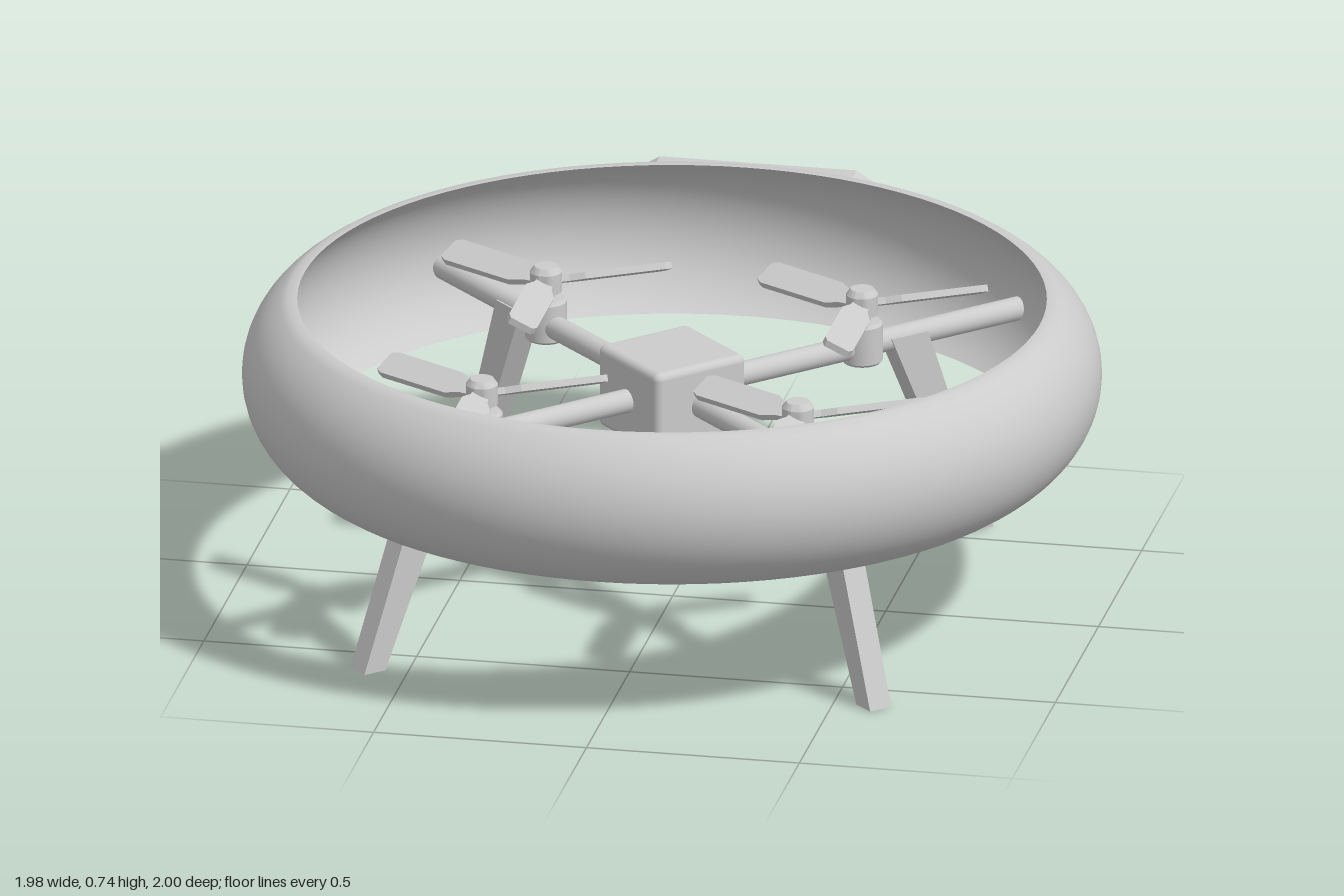
import * as THREE from 'three';
import { toCreasedNormals } from 'three/addons/utils/BufferGeometryUtils.js';
import { RoundedBoxGeometry } from 'three/addons/geometries/RoundedBoxGeometry.js';

const MID = 0.552;    // height of the ring's middle
const ARM_Y = 0.51;   // height of the arms and the core

const material = new THREE.MeshStandardMaterial({ color: 0xcccccc });

function add(parent, name, geometry, x = 0, y = 0, z = 0) {
  const mesh = new THREE.Mesh(geometry, material);
  mesh.name = name;
  mesh.position.set(x, y, z);
  parent.add(mesh);
  return mesh;
}

function group(parent, name) {
  const g = new THREE.Group();
  g.name = name;
  parent.add(g);
  return g;
}

// Rounded rectangle centred on the origin, as a shape or a hole
function roundedRect(w, h, r, Type = THREE.Shape) {
  const s = new Type();
  const x = w / 2 - r, y = h / 2 - r;
  s.absarc(x, y, r, 0, Math.PI / 2);
  s.absarc(-x, y, r, Math.PI / 2, Math.PI);
  s.absarc(-x, -y, r, Math.PI, Math.PI * 1.5);
  s.absarc(x, -y, r, Math.PI * 1.5, Math.PI * 2);
  s.closePath();
  return s;
}

// Rectangle with cut corners
function cutRect(w, h, cx, cy) {
  const x = w / 2, y = h / 2;
  return new THREE.Shape([
    [x, -y + cy], [x, y - cy], [x - cx, y], [-x + cx, y],
    [-x, y - cy], [-x, -y + cy], [-x + cx, -y], [x - cx, -y],
  ].map(([a, b]) => new THREE.Vector2(a, b)));
}

// Duct ring: thin shell, bulging outside and hollow inside, with flat rims
function ringGeometry() {
  const half = 0.183, n = 22, points = [];
  const arc = (edge, bulge, dir) => {
    const R = (half * half + bulge * bulge) / (2 * bulge);
    const a = Math.asin(half / R);
    for (let i = 0; i <= n; i++) {
      const t = dir * a * (2 * i / n - 1);
      points.push(new THREE.Vector2(edge + bulge - R + R * Math.cos(t), MID + R * Math.sin(t)));
    }
  };
  arc(0.885, 0.105, 1);
  arc(0.863, 0.095, -1);
  points.push(points[0].clone());
  return toCreasedNormals(new THREE.LatheGeometry(points, 96), 0.6);
}

// Leg: tapered box leaning outwards along +x
function legGeometry() {
  const top = 0.52;
  const g = new THREE.BoxGeometry(1, top, 1);
  const p = g.attributes.position;
  for (let i = 0; i < p.count; i++) {
    const t = p.getY(i) / top + 0.5;
    p.setXYZ(i,
      THREE.MathUtils.lerp(0.84, 0.637, t) + p.getX(i) * THREE.MathUtils.lerp(0.058, 0.1, t),
      t * top,
      p.getZ(i) * THREE.MathUtils.lerp(0.058, 0.062, t));
  }
  g.computeVertexNormals();
  return g;
}

// Blade: flat plate along +x with a narrower root and clipped tip
function bladeGeometry() {
  const outline = [[0.01, 0.018], [0.05, 0.022], [0.085, 0.036], [0.28, 0.036], [0.297, 0.028]];
  const lower = outline.map(([x, y]) => new THREE.Vector2(x, -y));
  const upper = outline.map(([x, y]) => new THREE.Vector2(x, y)).reverse();
  const g = new THREE.ExtrudeGeometry(new THREE.Shape([...lower, ...upper]), { depth: 0.016, bevelEnabled: false });
  g.translate(0, 0, -0.008);
  g.rotateX(-Math.PI / 2);
  return g;
}

// Motor with a shaft, a capped hub and three pitched blades
function addRotor(parent, x, z) {
  const rotor = group(parent, 'rotor');
  rotor.position.set(x, 0, z);
  const profile = [[0, 0.47], [0.042, 0.47], [0.048, 0.476], [0.048, 0.564], [0.042, 0.572], [0.02, 0.572],
    [0.02, 0.588], [0.037, 0.588], [0.037, 0.636], [0.027, 0.65], [0, 0.65]];
  const points = profile.map(([r, y]) => new THREE.Vector2(r, y));
  add(rotor, 'motorAndHub', toCreasedNormals(new THREE.LatheGeometry(points, 28), 0.6));
  const propeller = group(rotor, 'propeller');
  propeller.position.y = 0.612;
  const blade = bladeGeometry();
  for (let i = 0; i < 3; i++) {
    const m = add(propeller, 'blade', blade);
    m.rotation.order = 'YXZ';
    m.rotation.set(-0.44, Math.PI / 6 + i * Math.PI * 2 / 3, 0);
  }
}

// Panel body: cut-corner block whose inner face ends within the ring's shell
function panelBodyGeometry(w, h, back, front) {
  const g = new THREE.BoxGeometry(w, h, 1, 9, 10, 1);
  const p = g.attributes.position;
  for (let i = 0; i < p.count; i++) {
    const x = p.getX(i);
    const cut = Math.max(0, Math.abs(x) - w / 2 + 0.066) / 0.066;
    const y = p.getY(i) * (1 - cut * 0.04 / (h / 2));
    const shell = 0.75 + Math.sqrt(0.222 ** 2 - y * y);
    const inner = Math.max(front, Math.sqrt(shell * shell - x * x));
    p.setXYZ(i, x, y, p.getZ(i) < 0 ? -back : -Math.min(inner, back));
  }
  return toCreasedNormals(g, 0.4);
}

// Panel on the back of the ring: cut corners, recess and two buttons
function addPanel(parent) {
  const panel = group(parent, 'rearPanel');
  panel.position.y = 0.55;
  const w = 0.594, h = 0.29, back = 0.998, recess = 0.014;
  const frame = cutRect(w, h, 0.066, 0.04);
  frame.holes.push(roundedRect(0.39, 0.2, 0.035, THREE.Path));
  add(panel, 'panelFrame',
    new THREE.ExtrudeGeometry(frame, { depth: recess, bevelEnabled: false, curveSegments: 6 }), 0, 0, -back);
  add(panel, 'panelBody', panelBodyGeometry(w, h, back - recess, 0.913));
  const button = new THREE.ExtrudeGeometry(roundedRect(0.104, 0.106, 0.03), {
    depth: 0.022, bevelThickness: 0.006, bevelSize: 0.006, bevelSegments: 2, curveSegments: 6,
  });
  for (const x of [-0.085, 0.085]) add(panel, 'panelButton', button, x, 0, -1);
}

export function createModel() {
  const model = new THREE.Group();
  model.name = 'ductedDrone';
  const body = group(model, 'body');
  body.position.z = 0.008;

  add(body, 'ductRing', ringGeometry());

  const core = add(body, 'core', new RoundedBoxGeometry(0.25, 0.2, 0.25, 3, 0.018), 0, ARM_Y, 0);
  core.rotation.y = Math.PI / 4;

  // Four diagonal arms, each with a leg and a rotor
  const armGeometry = new THREE.CylinderGeometry(0.028, 0.028, 0.86, 24);
  armGeometry.rotateZ(Math.PI / 2);
  const leg = legGeometry();
  for (let i = 0; i < 4; i++) {
    const angle = Math.PI / 4 + i * Math.PI / 2;
    const spoke = group(body, 'spoke');
    spoke.rotation.y = angle;
    add(spoke, 'arm', armGeometry, 0.53, ARM_Y, 0);
    add(spoke, 'leg', leg);
    addRotor(body, 0.525 * Math.cos(angle), -0.525 * Math.sin(angle));
  }

  addPanel(body);
  return model;
}
